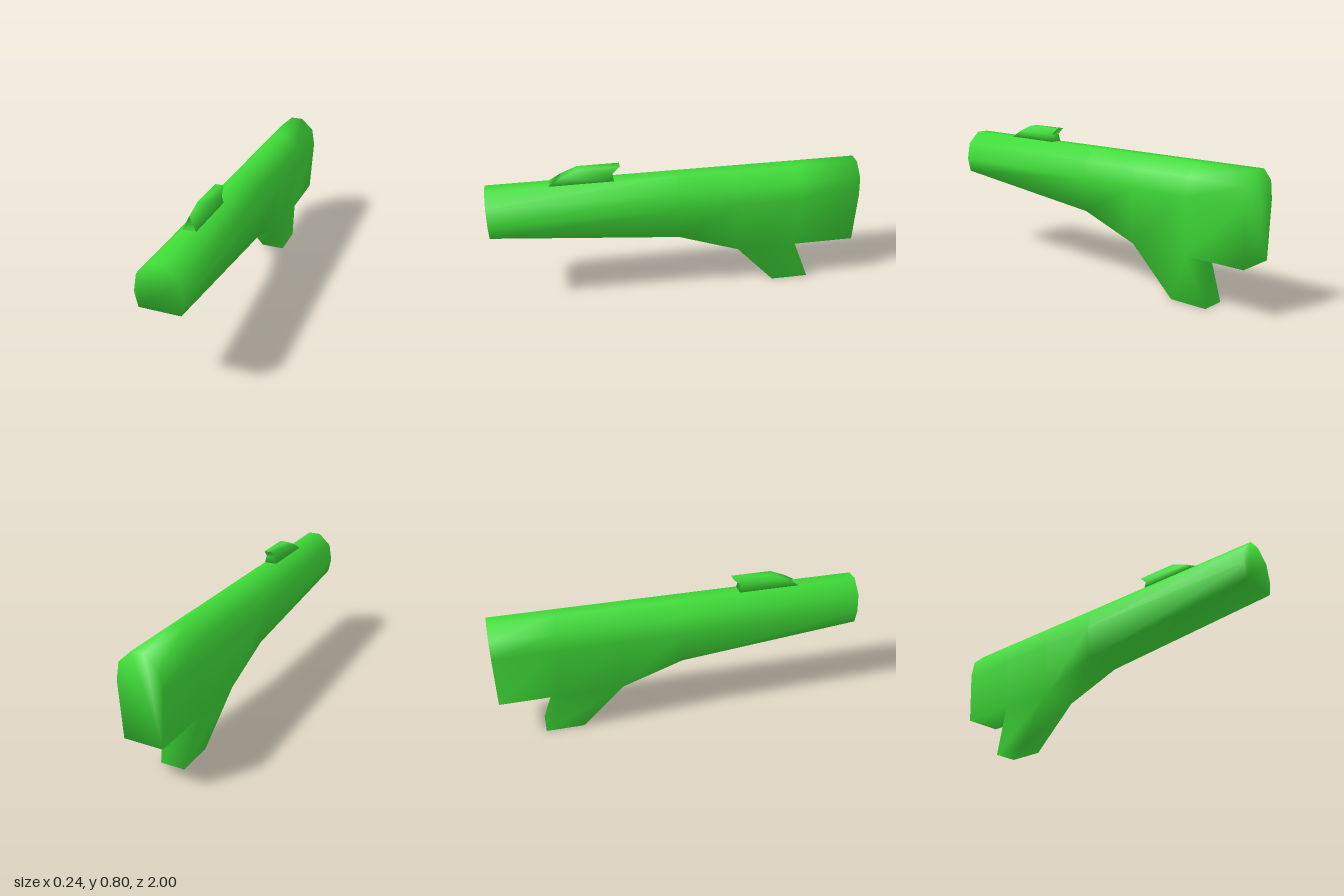
import * as THREE from 'three';

const material = new THREE.MeshStandardMaterial({ color: 0x3fdc38 });

// Skins a stack of rings (counter-clockwise seen from the first ring's side) and caps both ends
function loft(rings, skip = () => false) {
  const n = rings[0].length;
  const points = rings.flat();
  const index = [];
  const quad = (a, b, c, d) => index.push(a, b, c, a, c, d);
  for (let i = 0; i < rings.length - 1; i++) {
    for (let k = 0; k < n; k++) {
      if (skip(i, k)) continue;
      const next = (k + 1) % n;
      quad(i * n + k, (i + 1) * n + k, (i + 1) * n + next, i * n + next);
    }
  }
  const last = (rings.length - 1) * n;
  for (let k = 1; k < n - 1; k++) {
    index.push(0, k, k + 1);
    index.push(last, last + k + 1, last + k);
  }
  return { n, points, index, quad };
}

function toMesh({ points, index }, name) {
  const geometry = new THREE.BufferGeometry();
  geometry.setAttribute('position', new THREE.Float32BufferAttribute(points.flat(), 3));
  geometry.setIndex(index);
  geometry.computeVertexNormals();
  const mesh = new THREE.Mesh(geometry, material);
  mesh.name = name;
  return mesh;
}

// Eight-sided hull section whose underside sits at the given height
const hullSection = (z, bottom) => [
  [-0.105, bottom, z], [0.105, bottom, z], [0.122, 0.56, z], [0.105, 0.655, z],
  [0.035, 0.72, z], [-0.035, 0.72, z], [-0.105, 0.655, z], [-0.122, 0.56, z],
];

// Flat rectangular section at height y
const deckSection = (y, x, front, back) => [
  [-x, y, front], [x, y, front], [x, y, back], [-x, y, back],
];

export function createModel() {
  const group = new THREE.Group();
  group.name = 'model';

  // Long body, left open underneath where the raked keel grows out of it
  const stations = [[1, 0.48], [0, 0.38], [-0.335, 0.26], [-0.665, 0.26], [-1, 0.26]];
  const keelStrip = 2;
  const body = loft(
    stations.map(([z, bottom]) => hullSection(z, bottom)),
    (i, k) => i === keelStrip && k === 0,
  );

  // Tapering keel, joined to the body so the shading flows across
  const a = keelStrip * body.n;
  const root = [a, a + body.n, a + body.n + 1, a + 1];
  const base = body.points.length;
  body.points.push([-0.067, 0, -0.56], [-0.067, 0, -0.77], [0.067, 0, -0.77], [0.067, 0, -0.56]);
  for (let j = 0; j < 4; j++) {
    const next = (j + 1) % 4;
    body.quad(root[j], root[next], base + next, base + j);
  }
  body.quad(base, base + 1, base + 2, base + 3);
  group.add(toMesh(body, 'bodyWithKeel'));

  // Small swept fin on top
  group.add(toMesh(loft([
    deckSection(0.797, 0.023, 0.52, 0.3),
    deckSection(0.76, 0.028, 0.605, 0.342),
    deckSection(0.72, 0.035, 0.67, 0.335),
  ]), 'topFin'));

  return group;
}
